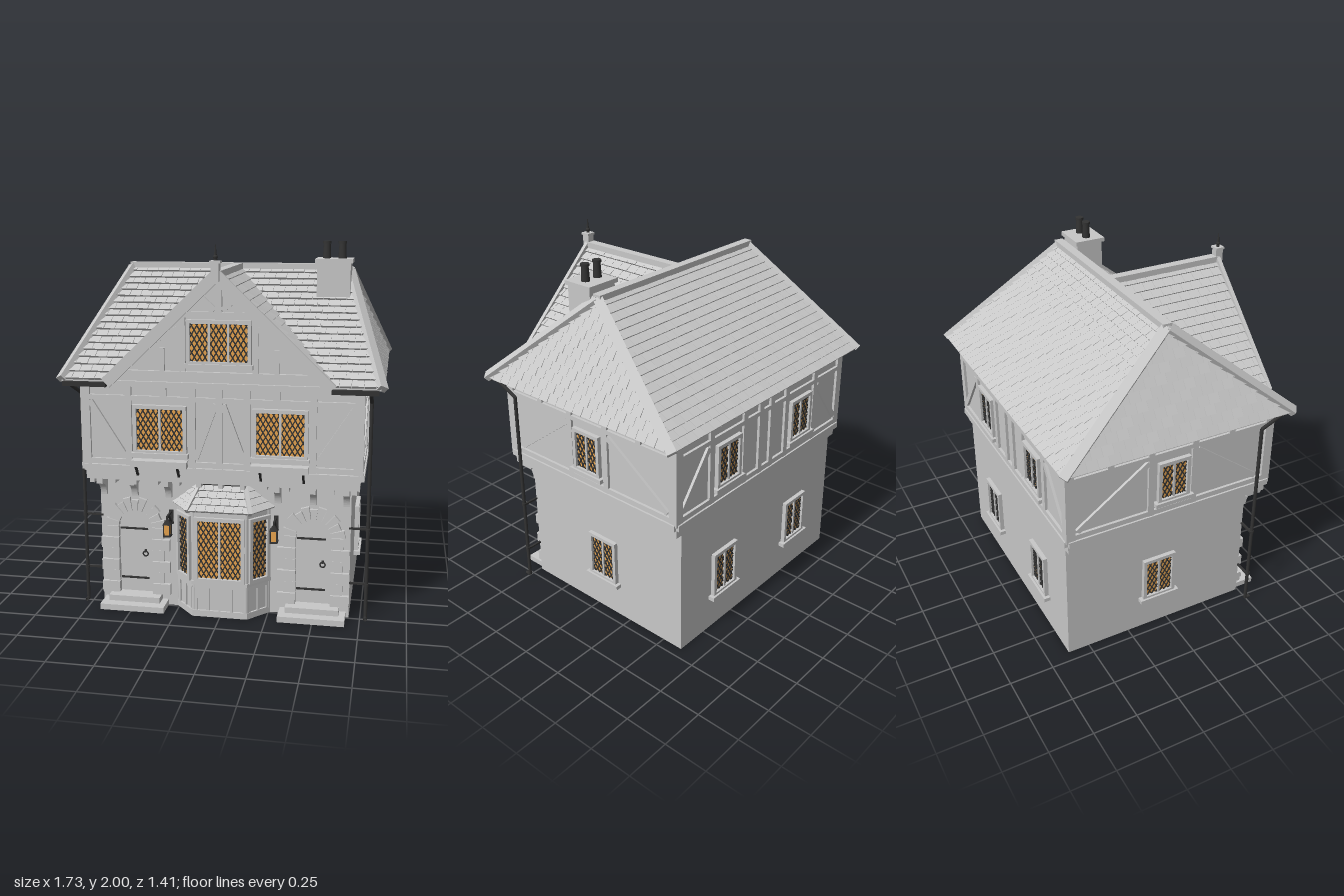
import * as THREE from 'three';
import { mergeGeometries } from 'three/addons/utils/BufferGeometryUtils.js';
import { ConvexGeometry } from 'three/addons/geometries/ConvexGeometry.js';

const V = (x, y, z) => new THREE.Vector3(x, y, z);
const FRONT = V(0, 0, 1);

export function createModel() {
  const material = (name, color) => new THREE.MeshStandardMaterial({ name, color, side: THREE.DoubleSide });
  const grey = material('stoneGrey', 0xc8c8c8), iron = material('darkIron', 0x333333), amber = material('amberGlass', 0xeaa650);
  const house = new THREE.Group();
  house.name = 'house';

  // ---- helpers ----
  const add = (parent, name, mat, ...geos) => {
    const list = geos.flat(Infinity).map((g) => {
      const n = g.index ? g.toNonIndexed() : g;
      n.deleteAttribute('uv');
      return n;
    });
    const m = new THREE.Mesh(mergeGeometries(list), mat);
    m.name = name;
    parent.add(m);
  };
  const group = (parent, name, x = 0, y = 0, z = 0, ry = 0) => {
    const g = new THREE.Group();
    g.name = name;
    g.position.set(x, y, z);
    g.rotation.y = ry;
    parent.add(g);
    return g;
  };
  const box = (x0, x1, y0, y1, z0, z1) => new THREE.BoxGeometry(x1 - x0, y1 - y0, z1 - z0)
    .translate((x0 + x1) / 2, (y0 + y1) / 2, (z0 + z1) / 2);
  const beam = (p, q, w, d, n = FRONT) => {
    const x = q.clone().sub(p), len = x.length();
    x.normalize();
    const y = n.clone().cross(x).normalize(), z = x.clone().cross(y);
    return new THREE.BoxGeometry(len, w, d)
      .applyMatrix4(new THREE.Matrix4().makeBasis(x, y, z).setPosition(p.clone().lerp(q, 0.5)));
  };
  const bar = (x0, y0, x1, y1, w = 0.035, d = 0.03, z = 0) => beam(V(x0, y0, z), V(x1, y1, z), w, d);
  const cyl = (r0, r1, h, x, y, z, n = 16) => new THREE.CylinderGeometry(r0, r1, h, n).translate(x, y + h / 2, z);
  const both = (fn) => [1, -1].flatMap(fn);
  const hexa = (c) => {
    const quads = [[4, 5, 6, 7], [3, 2, 1, 0], [0, 1, 5, 4], [1, 2, 6, 5], [2, 3, 7, 6], [3, 0, 4, 7]];
    const pts = quads.flatMap(([a, b, d, e]) => [a, b, d, a, d, e].map((i) => c[i]));
    const g = new THREE.BufferGeometry().setFromPoints(pts);
    g.computeVertexNormals();
    return g;
  };
  const prism = (pts, y0, y1) => { // plan outline in x, z raised between two heights
    const s = new THREE.Shape(pts.map(([x, z]) => new THREE.Vector2(x, -z)));
    return new THREE.ExtrudeGeometry(s, { depth: y1 - y0, bevelEnabled: false }).rotateX(-Math.PI / 2).translate(0, y0, 0);
  };

  // Overlapping tile courses on a slope given by its four corners, seen from outside
  const tiles = (bl, br, tr, tl, tw = 0.062, course = 0.052, t = 0.013) => {
    const axis = br.clone().sub(bl), width = axis.length();
    axis.normalize();
    const left = tl.clone().sub(bl), l1 = left.dot(axis), r1 = tr.clone().sub(bl).dot(axis);
    const up = left.clone().addScaledVector(axis, -l1), len = up.length();
    up.normalize();
    const n = axis.clone().cross(up), rows = Math.round(len / course), out = [];
    const at = (u, v, h) => bl.clone().addScaledVector(axis, u).addScaledVector(up, v * len).addScaledVector(n, h);
    for (let r = 0; r < rows; r++) {
      const v0 = r / rows, v1 = (r + 1) / rows;
      const clip = (u, v) => Math.min(Math.max(u, l1 * v), width + (r1 - width) * v);
      const start = Math.min(0, l1) - (r % 2) * tw / 2, end = Math.max(width, r1);
      for (let u = start; u < end; u += tw) {
        const a = u + 0.001, b = u + tw - 0.001;
        const a0 = clip(a, v0), b0 = clip(b, v0), a1 = clip(a, v1), b1 = clip(b, v1);
        if (b0 - a0 + b1 - a1 < 0.002) continue;
        const lift = t + (Math.abs(r * 7 + Math.round(u / tw) * 5) % 4) * 0.0008;
        out.push(hexa([at(a0, v0, -0.004), at(b0, v0, -0.004), at(b1, v1, -0.004), at(a1, v1, -0.004),
          at(a0, v0, lift), at(b0, v0, lift), at(b1, v1, 0.003), at(a1, v1, 0.003)]));
      }
    }
    return out;
  };

  // Leaded window on a wall facing +z, origin at bottom centre
  const leadedWindow = (parent, name, x, y, w, h, lights, sill = 0.02) => {
    const g = group(parent, name, x, y, 0), f = 0.02, hw = w / 2, frame = [], lead = [];
    frame.push(box(-hw, -hw + f, 0, h, -0.005, 0.024), box(hw - f, hw, 0, h, -0.005, 0.024),
      box(-hw, hw, h - f, h, -0.005, 0.024), box(-hw, hw, 0, f, -0.005, 0.024));
    if (sill) frame.push(box(-hw - sill, hw + sill, -0.015, 0.008, -0.005, 0.036));
    const lw = (w - 2 * f) / lights, lh = h - 2 * f, k = 0.6, step = 0.028;
    for (let i = 0; i < lights; i++) {
      const x0 = -hw + f + i * lw;
      if (i) frame.push(box(x0 - 0.006, x0 + 0.006, f, h - f, -0.005, 0.018));
      for (let c = -k * lh + step / 2; c < lw; c += step) { // diagonals clipped to the pane
        const ya = Math.max(0, -c / k), yb = Math.min(lh, (lw - c) / k);
        if (yb - ya < 0.008) continue;
        for (const s of [1, -1]) {
          const px = (yy) => x0 + lw / 2 + s * (c + k * yy - lw / 2);
          lead.push(bar(px(ya), f + ya, px(yb), f + yb, 0.006, 0.005, 0.009));
        }
      }
    }
    add(g, 'windowFrame', grey, frame);
    add(g, 'leadLattice', iron, lead);
    add(g, 'glass', amber, new THREE.PlaneGeometry(w - 2 * f, lh).translate(0, h / 2, 0.006));
  };

  // ---- ground floor walls, open below ----
  const archPath = (path, cx, r, y0, y1) => {
    path.moveTo(cx - r, y0).lineTo(cx + r, y0).lineTo(cx + r, y1);
    path.absarc(cx, y1, r, 0, Math.PI, false);
    return path.lineTo(cx - r, y0);
  };
  const face = new THREE.Shape([[-0.69, 0], [0.69, 0], [0.69, 0.75], [-0.69, 0.75]].map((p) => new THREE.Vector2(...p)));
  const hatch = [[-0.2, 0.2], [-0.2, 0.56], [0.2, 0.56], [0.2, 0.2]].map((p) => new THREE.Vector2(...p));
  face.holes.push(archPath(new THREE.Path(), -0.493, 0.097, 0.06, 0.455), archPath(new THREE.Path(), 0.493, 0.097, 0.06, 0.455), new THREE.Path(hatch));
  add(house, 'groundFloorWalls', grey,
    new THREE.ExtrudeGeometry(face, { depth: 0.05, bevelEnabled: false, curveSegments: 20 }).translate(0, 0, 0.44),
    box(-0.69, -0.64, 0, 0.75, -0.625, 0.44), box(0.64, 0.69, 0, 0.75, -0.625, 0.44), box(-0.64, 0.64, 0, 0.75, -0.625, -0.575));

  // ---- upper floor, with jetty beams ----
  add(house, 'upperFloorWalls', grey, box(-0.735, 0.735, 0.745, 1.3, -0.63, 0.583));
  const wallF = group(house, 'frontWall', 0, 0, 0.583), wallB = group(house, 'backWall', 0, 0, -0.63, Math.PI);
  const rails = (hw) => [bar(-hw, 0.815, hw, 0.815, 0.035, 0.045), bar(-hw, 0.85, hw, 0.85, 0.03), bar(-hw, 1.2, hw, 1.2, 0.025),
    bar(-hw, 1.275, hw, 1.275, 0.03), bar(-hw + 0.015, 0.82, -hw + 0.015, 1.28, 0.05), bar(hw - 0.015, 0.82, hw - 0.015, 1.28, 0.05)];
  const posts = (xs, y0 = 0.83) => xs.map((x) => bar(x, y0, x, 1.28));
  add(wallF, 'frontTimbers', grey, rails(0.74), posts([-0.49, -0.145, 0, 0.145, 0.49]), posts([-0.3, 0.3], 1.2),
    both((s) => [bar(s * 0.7, 1.18, s * 0.51, 0.88, 0.03), bar(s * 0.02, 1.18, s * 0.13, 0.88, 0.03)]));
  add(wallB, 'backTimbers', grey, rails(0.74), posts([-0.47, -0.19, -0.05, 0.05, 0.19, 0.47]),
    both((s) => bar(s * 0.7, 0.89, s * 0.49, 1.17, 0.03)));
  const lowBack = group(house, 'groundBackWall', 0, 0, -0.625, Math.PI);
  for (const s of [1, -1]) {
    leadedWindow(wallF, 'upperFrontWindow', s * 0.32, 0.9, 0.29, 0.265, 2, 0.01);
    add(wallF, 'windowShelf', grey, box(s * 0.32 - 0.15, s * 0.32 + 0.15, 0.835, 0.87, 0, 0.055));
    add(wallF, 'shelfBrackets', iron, [0.22, 0.445].map((x) => beam(V(s * x, 0.84, 0.05), V(s * x, 0.78, 0.008), 0.012, 0.012, V(1, 0, 0))));
    leadedWindow(wallB, 'upperBackWindow', s * 0.33, 0.9, 0.2, 0.255, 2);
    leadedWindow(lowBack, 'groundBackWindow', s * 0.335, 0.21, 0.2, 0.275, 2);
    // side walls
    const side = group(house, 'sideWall', s * 0.735, 0, -0.0235, s * Math.PI / 2);
    const X = (z) => -s * (z + 0.0235);
    add(side, 'sideTimbers', grey, rails(0.61), posts([X(0.105), X(-0.155)]), posts([X(0.33), X(-0.39)], 1.2),
      bar(X(0.5), 0.88, X(0.12), 1.17, 0.03), bar(X(-0.17), 1.17, X(-0.58), 0.88, 0.03));
    leadedWindow(side, 'upperSideWindow', X(-0.02), 0.9, 0.19, 0.25, 2);
    const lowSide = group(house, 'groundSideWall', s * 0.69, 0, -0.0235, s * Math.PI / 2);
    leadedWindow(lowSide, 'groundSideWindow', X(-0.065), 0.21, 0.2, 0.275, 2);
  }

  // ---- jetty corbels and joist ends ----
  const corbel = new THREE.Shape();
  corbel.moveTo(0, 0).lineTo(0.02, 0).quadraticCurveTo(0.025, 0.07, 0.09, 0.08).lineTo(0.09, 0.11).lineTo(0, 0.11);
  const corbels = [-0.665, -0.49, -0.3, 0.3, 0.49, 0.665].map((x) => new THREE.ExtrudeGeometry(corbel, { depth: 0.034, bevelEnabled: false })
    .rotateY(-Math.PI / 2).translate(x + 0.017, 0.635, 0.489));
  for (let i = -6; i <= 6; i++) corbels.push(box(i * 0.118 - 0.013, i * 0.118 + 0.013, 0.72, 0.75, 0.48, 0.575));
  add(house, 'jettyCorbels', grey, corbels);

  // ---- main roof, cross gable and tiles ----
  const ridge = (s) => V(s * 0.62, 1.85, -0.02), eaveF = (s) => V(s * 0.835, 1.3, 0.65), eaveB = (s) => V(s * 0.835, 1.3, -0.69);
  const gx = 0.6, gTop = V(0, 1.85, -0.02), gFront = V(0, 1.85, 0.665);
  add(house, 'roofBody', grey,
    new ConvexGeometry(both((s) => [ridge(s), eaveB(s), V(s * 0.82, 1.341, 0.6), V(s * 0.83, 1.295, 0.6), V(s * 0.835, 1.295, -0.685)])),
    new ConvexGeometry([gTop, V(0, 1.85, 0.59), ...both((s) => [V(s * gx, 1.3, 0.59), V(s * gx, 1.3, 0.5)])]),
    both((s) => box(Math.min(s * 0.57, s * 0.83), Math.max(s * 0.57, s * 0.83), 1.288, 1.302, 0.55, 0.65)));
  const valley = (s) => V(s * gx, 1.3, 0.65), gEave = (s) => V(s * gx, 1.3, 0.665);
  add(house, 'roofTiles', grey,
    tiles(eaveB(1), eaveB(-1), ridge(-1), ridge(1)),
    tiles(eaveF(-1), valley(-1), gTop, ridge(-1)), tiles(valley(1), eaveF(1), ridge(1), gTop),
    tiles(eaveF(1), eaveB(1), ridge(1), ridge(1)), tiles(eaveB(-1), eaveF(-1), ridge(-1), ridge(-1)),
    tiles(valley(-1), gEave(-1), gFront, gTop), tiles(gEave(1), valley(1), gTop, gFront));
  add(house, 'ridgeAndHipCaps', grey, box(-0.63, 0.63, 1.835, 1.872, -0.045, 0.005), box(-0.025, 0.025, 1.835, 1.872, 0, 0.67),
    both((s) => [beam(ridge(s), eaveF(s), 0.05, 0.035, V(s, 1.1, 0.6)), beam(ridge(s), eaveB(s), 0.05, 0.035, V(s, 1.1, -0.6))]));

  // ---- front gable ----
  const gable = group(house, 'frontGable', 0, 0, 0.59);
  const curvedBrace = (pts) => {
    const c = new THREE.QuadraticBezierCurve3(...pts.map(([x, y]) => V(x, y, 0))).getPoints(6);
    return c.slice(1).map((p, i) => beam(c[i], p, 0.028, 0.03));
  };
  add(gable, 'gableTimbers', grey, bar(-0.57, 1.33, 0.57, 1.33, 0.04, 0.04), bar(-0.21, 1.645, 0.21, 1.645, 0.03), bar(0, 1.66, 0, 1.84),
    both((s) => [bar(s * 0.19, 1.35, s * 0.19, 1.65, 0.03), bar(s * 0.02, 1.67, s * 0.11, 1.75, 0.028), bar(s * 0.3, 1.35, s * 0.3, 1.47, 0.025),
      curvedBrace([[s * 0.52, 1.35], [s * 0.38, 1.51], [s * 0.19, 1.58]])]));
  leadedWindow(gable, 'gableWindow', 0, 1.385, 0.34, 0.235, 3, 0.01);
  add(gable, 'bargeboards', grey, both((s) => beam(V(0, 1.85, 0.075), V(s * 0.585, 1.29, 0.075), 0.06, 0.022)));
  add(gable, 'finialPost', grey, box(-0.02, 0.02, 1.82, 1.91, 0.06, 0.105), box(-0.027, 0.027, 1.91, 1.922, 0.056, 0.109));
  add(gable, 'finialSpike', iron, cyl(0.002, 0.01, 0.078, 0, 1.922, 0.083, 8), new THREE.SphereGeometry(0.012, 10, 8).translate(0, 1.94, 0.083));

  // ---- chimney ----
  add(house, 'chimney', grey, box(0.457, 0.637, 1.65, 1.89, 0.02, 0.175), box(0.446, 0.648, 1.885, 1.908, 0.008, 0.187));
  add(house, 'chimneyPots', iron, [0.503, 0.587].map((x) => [cyl(0.018, 0.023, 0.085, x, 1.908, 0.097), cyl(0.023, 0.023, 0.014, x, 1.986, 0.097)]));

  // ---- doors, stone surrounds and steps ----
  for (const s of [1, -1]) {
    const d = group(house, 'doorway', s * 0.493, 0, 0.49), stones = [];
    const leaf = archPath(new THREE.Shape(), 0, 0.097, 0.06, 0.455);
    add(d, 'door', grey, new THREE.ExtrudeGeometry(leaf, { depth: 0.03, bevelEnabled: false, curveSegments: 20 }).translate(0, 0, -0.045));
    add(d, 'doorIronwork', iron, box(-0.092, 0.065, 0.43, 0.44, -0.016, -0.008), box(-0.092, 0.065, 0.14, 0.15, -0.016, -0.008),
      new THREE.TorusGeometry(0.014, 0.004, 6, 16).translate(0.05, 0.292, -0.006), box(0.044, 0.056, 0.3, 0.314, -0.016, 0));
    for (let i = 0; i < 6; i++) for (const m of [1, -1]) {
      const w = i % 2 ? 0.16 : 0.195, y = 0.065 + i * 0.065;
      stones.push(box(Math.min(m * 0.095, m * w), Math.max(m * 0.095, m * w), y, y + 0.062, -0.01, i % 2 ? 0.016 : 0.022));
    }
    for (let i = 0; i < 11; i++) { // arch stones
      const r = i % 2 ? 0.155 : 0.17, a0 = i * Math.PI / 11 + 0.012, a1 = (i + 1) * Math.PI / 11 - 0.012;
      const ring = (z) => [[0.094, a0], [r, a0], [r, a1], [0.094, a1]].map(([q, a]) => V(q * Math.cos(a), 0.455 + q * Math.sin(a), z));
      stones.push(hexa([...ring(-0.01), ...ring(0.02)]));
    }
    add(d, 'doorSurround', grey, stones);
    add(d, 'doorSteps', grey, box(-0.18, 0.18, 0, 0.033, -0.02, 0.125), box(-0.145, 0.145, 0.033, 0.065, -0.05, 0.07));

    // wall lantern
    const l = group(house, 'lantern', s * 0.29, 0, 0.585);
    add(l, 'lanternGlass', amber, box(-0.016, 0.016, 0.45, 0.51, -0.016, 0.016));
    add(l, 'lanternFrame', iron, cyl(0.006, 0.033, 0.03, 0, 0.508, 0, 4).rotateY(Math.PI / 4), cyl(0.006, 0.006, 0.02, 0, 0.535, 0, 8),
      box(-0.021, 0.021, 0.44, 0.45, -0.021, 0.021), both((a) => both((b) => box(a * 0.017 - 0.003, a * 0.017 + 0.003, 0.45, 0.51, b * 0.017 - 0.003, b * 0.017 + 0.003))),
      box(-0.005, 0.005, 0.545, 0.555, -0.095, 0.005), box(-0.012, 0.012, 0.48, 0.56, -0.097, -0.085),
      beam(V(0, 0.49, -0.09), V(0, 0.548, -0.035), 0.008, 0.008, V(1, 0, 0)));

    // gutter and downpipe
    const path = [V(s * 0.78, 1.275, 0.66), V(s * 0.78, 1.2, 0.495), V(s * 0.78, 0.01, 0.495), V(s * 0.78, 0.01, 0.525)];
    add(house, 'gutterAndDownpipe', iron, box(Math.min(s * 0.585, s * 0.82), Math.max(s * 0.585, s * 0.82), 1.268, 1.292, 0.645, 0.675),
      path.slice(1).map((p, i) => new THREE.TubeGeometry(new THREE.LineCurve3(path[i], p), 1, 0.01, 8)),
      [0.2, 0.51].map((y) => [box(s * 0.735 - 0.055, s * 0.735 + 0.055, y - 0.005, y + 0.005, 0.482, 0.494), cyl(0.014, 0.014, 0.014, s * 0.78, y - 0.007, 0.495, 10)]));
  }

  // ---- bay window ----
  const plan = (g) => [[-0.25 - g, 0.488], [-0.145 - g * 0.5, 0.6 + g], [0.145 + g * 0.5, 0.6 + g], [0.25 + g, 0.488]];
  add(house, 'bayBase', grey, prism(plan(0), 0, 0.195), prism(plan(0.012), 0, 0.035), prism(plan(0.015), 0.185, 0.205), prism(plan(0.008), 0.565, 0.605));
  add(house, 'bayPosts', grey, plan(-0.006).map(([x, z]) => cyl(0.016, 0.016, 0.57, x, 0.03, z, 8)));
  const p = plan(0);
  for (let i = 0; i < 3; i++) {
    const [a, b] = [p[i], p[i + 1]], w = Math.hypot(b[0] - a[0], b[1] - a[1]);
    const f = group(house, 'bayFacet', (a[0] + b[0]) / 2, 0, (a[1] + b[1]) / 2, Math.atan2(a[1] - b[1], b[0] - a[0]));
    leadedWindow(f, 'bayWindow', 0, 0.203, w - 0.015, 0.365, i === 1 ? 2 : 1, 0);
    const n = i === 1 ? 5 : 3;
    add(f, 'bayPanelling', grey, Array.from({ length: n }, (_, j) => {
      const x = (j - (n - 1) / 2) * (w - 0.03) / (n - 1);
      return box(x - 0.007, x + 0.007, 0.035, 0.185, -0.005, 0.009);
    }), box(-w / 2, w / 2, 0.165, 0.185, -0.005, 0.009));
  }
  const lowR = [V(-0.28, 0.605, 0.49), V(-0.17, 0.605, 0.64), V(0.17, 0.605, 0.64), V(0.28, 0.605, 0.49)];
  const topR = [V(-0.13, 0.72, 0.49), V(-0.12, 0.72, 0.51), V(0.12, 0.72, 0.51), V(0.13, 0.72, 0.49)];
  add(house, 'bayRoof', grey, new ConvexGeometry([...lowR, ...topR]),
    [0, 1, 2].map((i) => tiles(lowR[i], lowR[i + 1], topR[i + 1], topR[i], 0.05, 0.04, 0.009)),
    [1, 2].map((i) => beam(lowR[i], topR[i], 0.022, 0.026, V(i === 1 ? -0.5 : 0.5, 1, 0.8))));
  add(house, 'bayFlashing', iron, box(-0.13, 0.13, 0.718, 0.732, 0.485, 0.517));
  return house;
}
